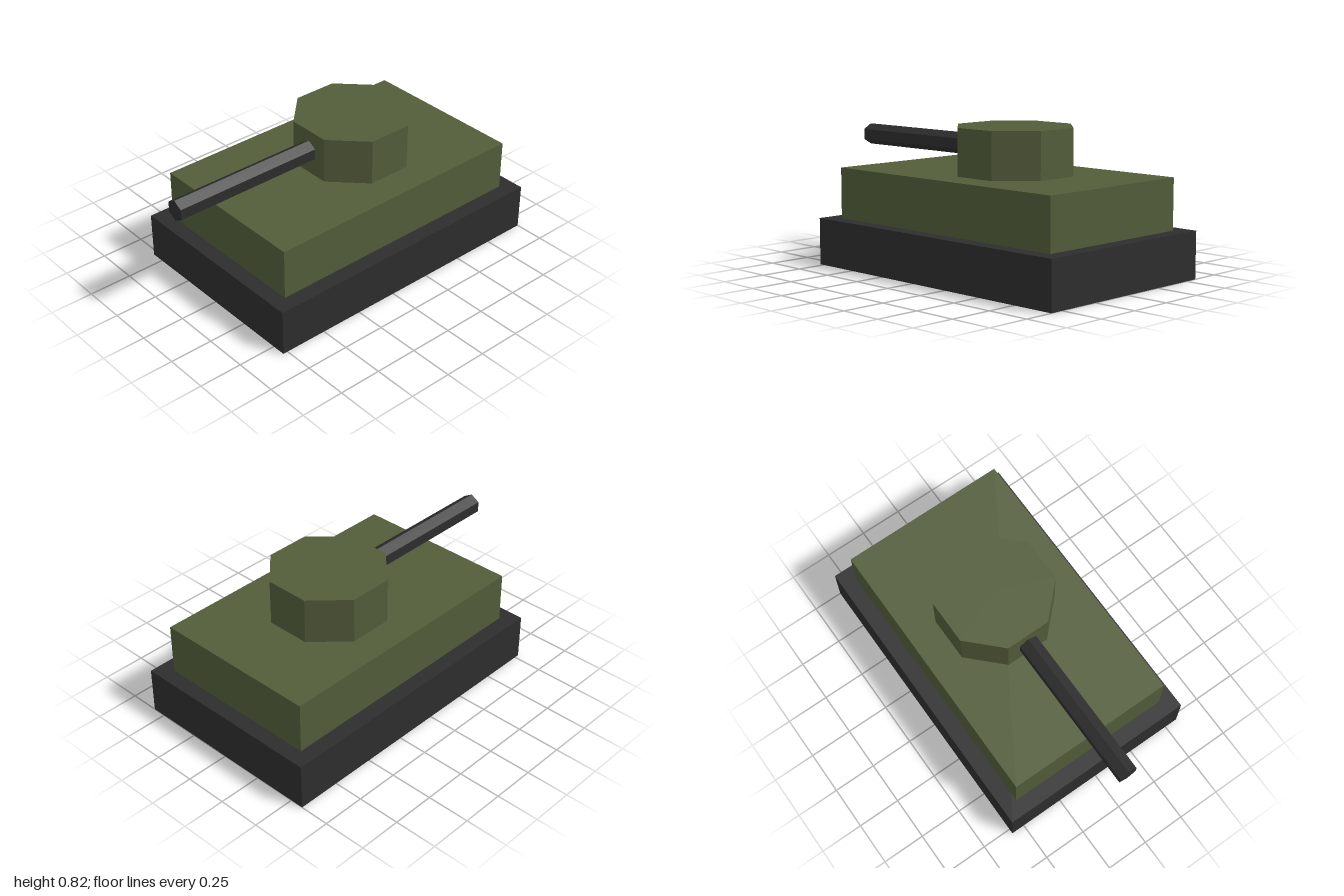
import * as THREE from 'three';

export function createModel() {
  const model = new THREE.Group();
  model.name = 'tank';

  const green = new THREE.MeshStandardMaterial({ color: 0x525c39 });
  green.name = 'olive green';
  const dark = new THREE.MeshStandardMaterial({ color: 0x2d2d2e });
  dark.name = 'dark grey';
  green.flatShading = dark.flatShading = true;

  const add = (name, geometry, material, x, y, z) => {
    const mesh = new THREE.Mesh(geometry, material);
    mesh.name = name;
    mesh.position.set(x, y, z);
    model.add(mesh);
  };

  // Track block and the hull resting on it
  add('trackBase', new THREE.BoxGeometry(1.156, 0.267, 1.778), dark, 0, 0.1335, -0.111);
  add('hull', new THREE.BoxGeometry(0.978, 0.289, 1.6), green, 0, 0.4115, -0.111);

  // Octagonal turret with a flat side facing forward
  const turret = new THREE.CylinderGeometry(0.336, 0.336, 0.263, 8).rotateY(Math.PI / 8);
  add('turret', turret, green, 0, 0.6875, -0.202);

  // Hexagonal gun barrel with an edge on top, seated in the turret
  const barrel = new THREE.CylinderGeometry(0.061, 0.061, 0.93, 6).rotateX(Math.PI / 2);
  add('gunBarrel', barrel, dark, 0, 0.695, 0.535);

  return model;
}
